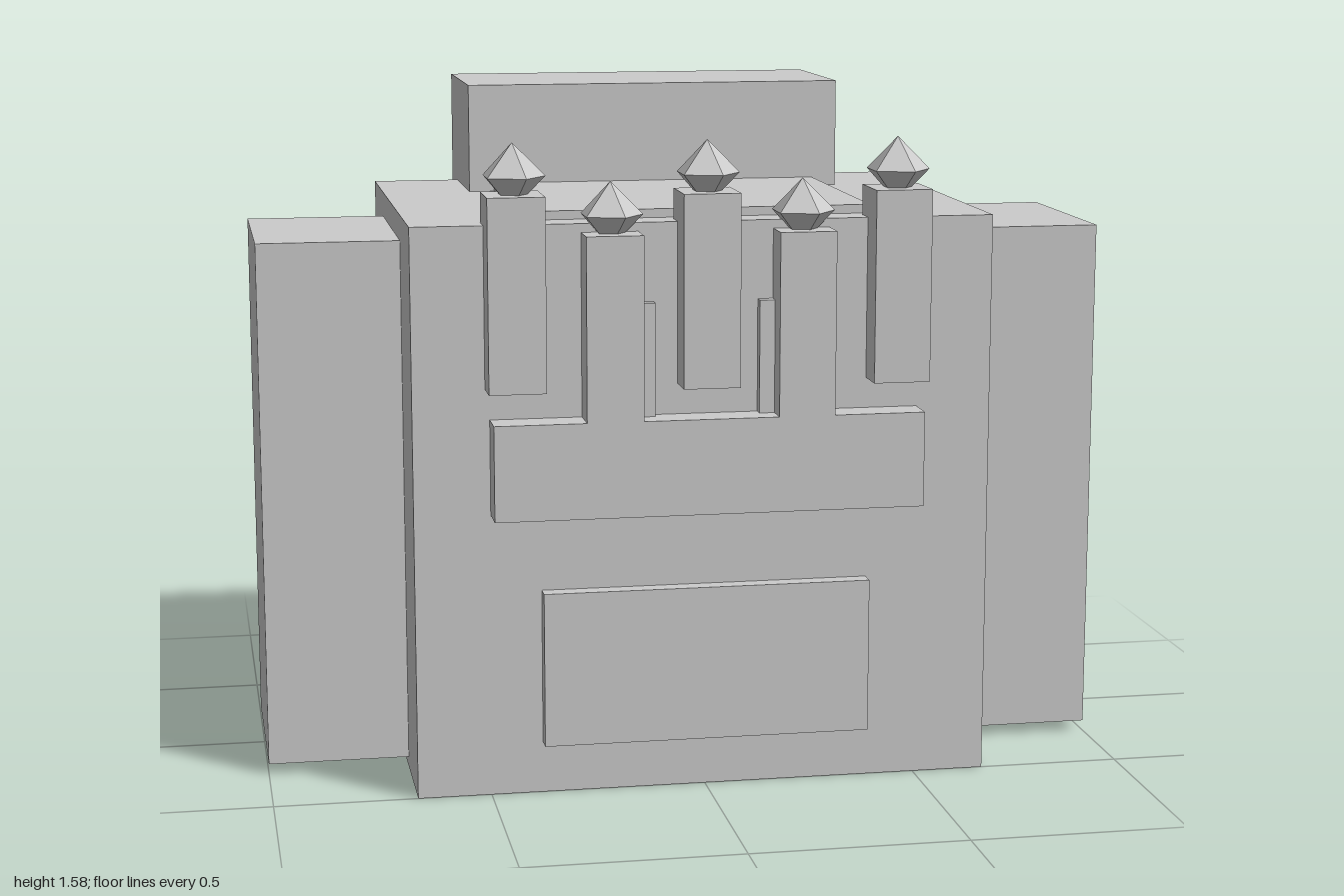
import * as THREE from 'three';

export function createModel() {
  const model = new THREE.Group();
  const material = new THREE.MeshStandardMaterial({ color: 0xcccccc, flatShading: true });

  // Box given by its extents along each axis
  function block(name, [x0, x1], [y0, y1], [z0, z1]) {
    const mesh = new THREE.Mesh(new THREE.BoxGeometry(x1 - x0, y1 - y0, z1 - z0), material);
    mesh.position.set((x0 + x1) / 2, (y0 + y1) / 2, (z0 + z1) / 2);
    mesh.name = name;
    model.add(mesh);
  }

  // Main body with its side, top and back blocks
  block('body', [-0.67, 0.67], [0, 1.32], [-0.46, 0.5]);
  block('leftSideBlock', [0.67, 1], [0.025, 1.26], [-0.22, 0.26]);
  block('rightSideBlock', [-1, -0.67], [0.025, 1.26], [-0.22, 0.26]);
  block('topPlate', [-0.4, 0.4], [1.3, 1.34], [-0.2, 0.418]);
  block('backBlock', [-0.46, 0.46], [1.14, 1.58], [-0.58, -0.18]);

  // Front panel and crossbar
  block('frontPanel', [-0.38, 0.38], [0.12, 0.48], [0.48, 0.54]);
  block('crossbar', [-0.495, 0.495], [0.66, 0.88], [0.45, 0.58]);

  // Thin strips beside the two lower posts
  block('rightStrip', [-0.16, -0.12], [0.88, 1.14], [0.48, 0.525]);
  block('leftStrip', [0.12, 0.16], [0.88, 1.14], [0.48, 0.525]);

  // Five posts, each topped by a five-sided gem
  const gemGeometry = new THREE.SphereGeometry(0.075, 5, 2).rotateY(Math.PI);
  for (let i = 0; i < 5; i++) {
    const x = (i - 2) * 0.22;
    const low = i % 2 === 1;
    const top = low ? 1.3 : 1.39;
    block('post', [x - 0.065, x + 0.065], [low ? 0.88 : 0.95, top], [0.447, 0.58]);
    const gem = new THREE.Mesh(gemGeometry, material);
    gem.name = 'gem';
    gem.position.set(x, top + 0.04, 0.51);
    model.add(gem);
  }
  return model;
}
